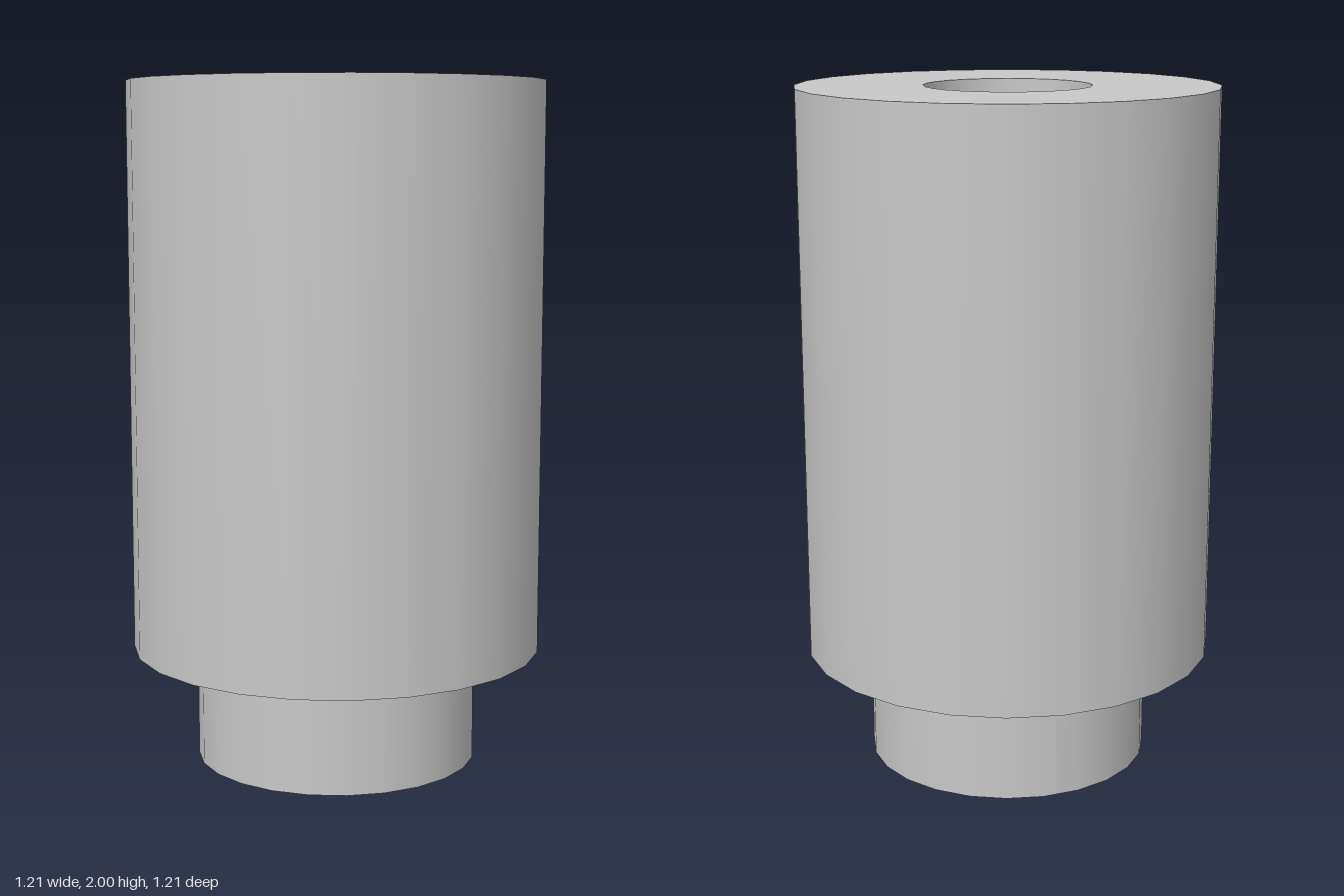
import * as THREE from 'three';
import { mergeGeometries } from 'three/addons/utils/BufferGeometryUtils.js';

const SEGMENTS = 24;

// Lathe each straight run of the profile separately so rims stay sharp
function turned(profile) {
  const points = profile.map(([r, y]) => new THREE.Vector2(r, y));
  const bands = [];
  for (let i = 0; i < points.length - 1; i++) {
    bands.push(new THREE.LatheGeometry([points[i], points[i + 1]], SEGMENTS));
  }
  return mergeGeometries(bands);
}

export function createModel() {
  const group = new THREE.Group();
  group.name = 'steppedBushing';
  const metal = new THREE.MeshStandardMaterial({ color: 0xc8c8c8 });
  metal.name = 'light grey';

  const bore = 0.24, neck = 0.415, body = 0.605;
  const shoulder = 0.335, top = 2;

  const add = (name, profile) => {
    const mesh = new THREE.Mesh(turned(profile), metal);
    mesh.name = name;
    group.add(mesh);
  };

  // Narrow neck with its ring-shaped bottom face
  add('neck', [[bore, 0], [neck, 0], [neck, shoulder]]);
  // Wide sleeve: shoulder, outer wall and top face
  add('sleeve', [[neck, shoulder], [body, shoulder], [body, top], [bore, top]]);
  // Straight hole running right through
  add('bore', [[bore, top], [bore, 0]]);

  return group;
}
